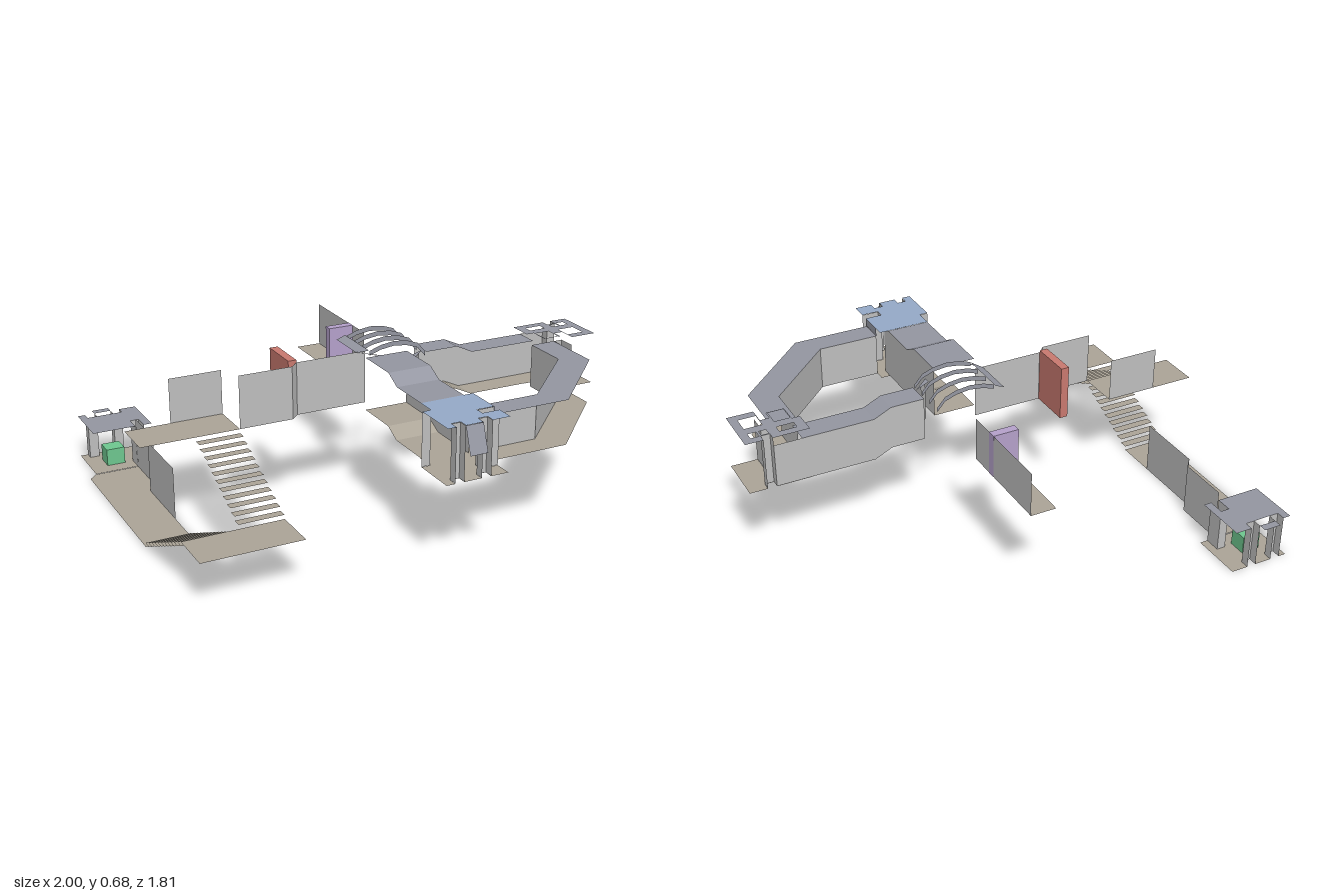
import * as THREE from 'three';

const mat = (name, color) => {
  const m = new THREE.MeshStandardMaterial({ color, side: THREE.DoubleSide });
  m.name = name;
  return m;
};

export function createModel() {
  const group = new THREE.Group();
  const wallMat = mat('wallGrey', 0xc0c0c0), roofMat = mat('ceilingGrey', 0x9597a2);
  const floorMat = mat('floorTan', 0xaca598), blueMat = mat('roomBlue', 0x96aac8);
  const redMat = mat('doorRed', 0xca7a70), greenMat = mat('consoleGreen', 0x6fc890);
  const purpleMat = mat('doorPurple', 0xb6a2cc);

  const add = (name, geo, m) => {
    const mesh = new THREE.Mesh(geo, m);
    mesh.name = name;
    group.add(mesh);
    return mesh;
  };
  const path = pts => pts.map(([x, z]) => new THREE.Vector2(x, -z));
  // Horizontal plate from an x,z outline
  const flat = (name, pts, y, m, holes = []) => {
    const shape = new THREE.Shape(path(pts));
    holes.forEach(h => shape.holes.push(new THREE.Path(path(h))));
    const geo = new THREE.ShapeGeometry(shape);
    geo.rotateX(-Math.PI / 2);
    geo.translate(0, y, 0);
    return add(name, geo, m);
  };
  const rect = (x0, x1, z0, z1) => [[x0, z0], [x0, z1], [x1, z1], [x1, z0]];
  // Surface spanned between two rails of x,y,z points
  const strip = (name, a, b, m) => {
    const v = [];
    for (let i = 0; i < a.length - 1; i++) {
      v.push(...a[i], ...a[i + 1], ...b[i + 1], ...a[i], ...b[i + 1], ...b[i]);
    }
    const geo = new THREE.BufferGeometry();
    geo.setAttribute('position', new THREE.Float32BufferAttribute(v, 3));
    geo.computeVertexNormals();
    return add(name, geo, m);
  };
  // Upright wall along an x,z path
  const wall = (name, pts, y0, y1, m = wallMat) =>
    strip(name, pts.map(([x, z]) => [x, y0, z]), pts.map(([x, z]) => [x, y1, z]), m);
  const box = (name, x0, x1, y0, y1, z0, z1, m) => {
    const geo = new THREE.BoxGeometry(x1 - x0, y1 - y0, z1 - z0);
    geo.translate((x0 + x1) / 2, (y0 + y1) / 2, (z0 + z1) / 2);
    return add(name, geo, m);
  };

  // Lower hallway
  flat('lowerFloor', [[-1, -0.61], [-0.965, -0.647], [-0.773, -0.647], [-0.773, -0.42],
    [-0.81, -0.38], [-0.81, 0.105], [-1, 0.105]], 0, floorMat);
  wall('lowerWall', [[-0.773, -0.647], [-0.773, -0.42], [-0.81, -0.38], [-0.81, -0.075]], 0, 0.225);

  // Lower room with notched outline and console
  const lowRoom = [[-0.963, -0.875], [-0.93, -0.875], [-0.93, -0.837], [-0.773, -0.837],
    [-0.773, -0.875], [-0.70, -0.875], [-0.70, -0.65], [-0.735, -0.65], [-0.735, -0.72],
    [-0.773, -0.72], [-0.773, -0.65], [-0.963, -0.65]];
  flat('lowerRoomCeiling', lowRoom, 0.19, roofMat);
  flat('lowerRoomFloor', lowRoom, 0, floorMat);
  flat('lowerRoomDoorstep', rect(-0.888, -0.813, -0.875, -0.837), 0, floorMat);
  wall('lowerRoomPost', [[-0.93, -0.875], [-0.93, -0.837], [-0.888, -0.837], [-0.888, -0.875]], 0, 0.19);
  wall('lowerRoomPost', [[-0.813, -0.875], [-0.813, -0.837], [-0.773, -0.837], [-0.773, -0.875]], 0, 0.19);
  wall('lowerRoomPost', [[-0.735, -0.65], [-0.735, -0.72], [-0.773, -0.72], [-0.773, -0.65]], 0, 0.19);
  flat('lowerRoomLedge', rect(-0.888, -0.813, -0.91, -0.875), 0.19, roofMat);
  box('console', -0.89, -0.81, 0.001, 0.075, -0.79, -0.713, greenMat);

  // Two open stair flights with landings
  const steps = 11, run = 0.415 / steps, rise = 0.21 / (steps + 1);
  for (let i = 0; i < steps; i++) {
    const z = 0.105 + i * run;
    flat('lowerTread', rect(-1, -0.81, z, z + run), rise * (i + 1), floorMat);
    flat('upperTread', rect(-0.773, -0.588, z, z + run), 0.42 - rise * (i + 1), floorMat);
  }
  flat('middleLanding', rect(-1, -0.588, 0.52, 0.71), 0.21, floorMat);
  flat('upperLanding', rect(-1, -0.588, -0.077, 0.105), 0.42, floorMat);

  // Upper passage walls and sliding door
  wall('landingWall', [[-0.81, -0.077], [-0.588, -0.077]], 0.42, 0.607);
  wall('passageWall', [[-0.588, 0.105], [-0.36, 0.105], [-0.325, 0.07], [-0.02, 0.07]], 0.42, 0.643);
  box('redDoor', -0.36, -0.325, 0.42, 0.653, -0.113, 0.068, redMat);

  // Junction: edge strip, corner slivers and arched ribs
  strip('junctionEdge', [[-0.058, 0.64, -0.113], [-0.058, 0.64, 0.07]],
    [[-0.02, 0.655, -0.113], [-0.02, 0.655, 0.105]], roofMat);
  flat('cornerSliver', [[-0.058, 0.07], [0.015, 0.145], [0.0, 0.145]], 0.642, roofMat);
  flat('cornerSliver', [[0.17, 0.145], [0.17, 0.115], [0.245, 0.075]], 0.608, roofMat);
  wall('cornerWall', [[0.17, 0.147], [0.21, 0.105]], 0.42, 0.607);
  const rib = [[-0.02, 0.655], [0.03, 0.672], [0.09, 0.68], [0.15, 0.673], [0.2, 0.655], [0.235, 0.615]];
  for (const z of [-0.1, -0.03, 0.04, 0.11]) {
    strip('archRib', rib.map(([x, y]) => [x, y, z]), rib.map(([x, y]) => [x, y - 0.02, z]), roofMat);
  }

  // Corridor to the front room: stepped ceiling, floor and inner wall
  const frontRun = [[0.147, 0.643, 0.42], [0.34, 0.643, 0.42], [0.41, 0.607, 0.385], [0.645, 0.607, 0.385]];
  const alongZ = (x, k) => frontRun.map(p => [x, p[k], p[0]]);
  strip('frontCorridorCeiling', alongZ(-0.057, 1).slice(0, 3).concat([[-0.057, 0.607, 0.6]]),
    alongZ(0.13, 1).slice(0, 3).concat([[0.13, 0.607, 0.6]]), roofMat);
  strip('frontCorridorFloor', alongZ(-0.057, 2), alongZ(0.13, 2), floorMat);
  strip('frontCorridorWall', alongZ(0.13, 2), alongZ(0.13, 1), wallMat);

  // Corridor to the side room
  const sideRun = [[0.245, 0.607, 0.42], [0.39, 0.607, 0.42], [0.465, 0.572, 0.385], [0.887, 0.572, 0.385]];
  const alongX = (z, k) => sideRun.map(p => [p[0], p[k], z]);
  strip('sideCorridorCeiling', alongX(0.105, 1).slice(0, 3).concat([[0.77, 0.572, 0.105]]),
    alongX(0, 1).slice(0, 3).concat([[0.77, 0.572, 0]]), roofMat);
  strip('sideCorridorFloor', alongX(0.105, 2), alongX(0, 2), floorMat);
  strip('sideCorridorWall', alongX(0, 2), alongX(0, 1), wallMat);

  // Angled corridor joining the two rooms
  const inner = [[0.17, 0.643], [0.433, 0.643], [0.735, 0.345], [0.735, 0.147]];
  const outer = [[0.17, 0.747], [0.508, 0.747], [0.845, 0.41], [0.845, 0.147]];
  const ring = [...inner, ...outer.slice().reverse()];
  flat('angledCorridorCeiling', ring, 0.572, roofMat);
  flat('angledCorridorFloor', ring, 0.385, floorMat);
  wall('angledCorridorWall', inner, 0.385, 0.572);
  wall('lintel', [[0.169, 0.643], [0.169, 0.755]], 0.572, 0.607, roofMat);

  // Front room: blue ceiling, notched posts and hanging flap
  const blueRoom = [[-0.058, 0.6], [0.17, 0.6], [0.17, 0.752], [0.095, 0.752], [0.095, 0.79],
    [0.17, 0.79], [0.17, 0.865], [0.095, 0.865], [0.095, 0.827], [0.055, 0.827], [0.055, 0.865],
    [-0.02, 0.865], [-0.02, 0.827], [-0.058, 0.827], [-0.058, 0.865], [-0.095, 0.865],
    [-0.095, 0.677], [-0.058, 0.677]];
  flat('frontRoomCeiling', blueRoom, 0.608, blueMat);
  flat('frontRoomFloor', blueRoom, 0.384, floorMat);
  wall('frontRoomPost', blueRoom.slice(2, 6), 0.385, 0.607);
  wall('frontRoomPost', blueRoom.slice(7, 11), 0.385, 0.607);
  wall('frontRoomPost', blueRoom.slice(11, 15), 0.385, 0.607);
  wall('frontRoomPost', blueRoom.slice(16, 18), 0.385, 0.607);
  strip('frontRoomFlap', [[-0.02, 0.607, 0.865], [-0.02, 0.5, 0.902]],
    [[0.055, 0.607, 0.865], [0.055, 0.5, 0.902]], roofMat);

  // Side room: ceiling with openings and notched posts
  const sideRoom = [[0.735, 0], [0.887, 0], [0.887, 0.035], [0.925, 0.035], [0.925, 0], [1, 0],
    [1, 0.222], [0.887, 0.222], [0.887, 0.147], [0.848, 0.147], [0.848, 0.19], [0.77, 0.19],
    [0.77, 0.105], [0.735, 0.105]];
  flat('sideRoomCeiling', sideRoom, 0.607, roofMat, [rect(0.775, 0.848, 0.035, 0.07),
    rect(0.775, 0.84, 0.112, 0.185), rect(0.89, 0.92, 0.04, 0.07), rect(0.93, 0.965, 0.035, 0.07),
    rect(0.89, 0.965, 0.112, 0.185)]);
  flat('sideRoomFloor', sideRoom, 0.384, floorMat);
  wall('sideRoomPost', sideRoom.slice(1, 5), 0.385, 0.607);
  wall('sideRoomPost', sideRoom.slice(7, 11), 0.385, 0.572);

  // Back corridor piece with purple door
  flat('backFloor', rect(0.02, 0.13, -0.68, -0.23), 0.42, floorMat);
  wall('backWall', [[0.13, -0.68], [0.13, -0.23]], 0.42, 0.607);
  box('purpleDoor', 0.02, 0.131, 0.42, 0.607, -0.38, -0.343, purpleMat);

  return group;
}
